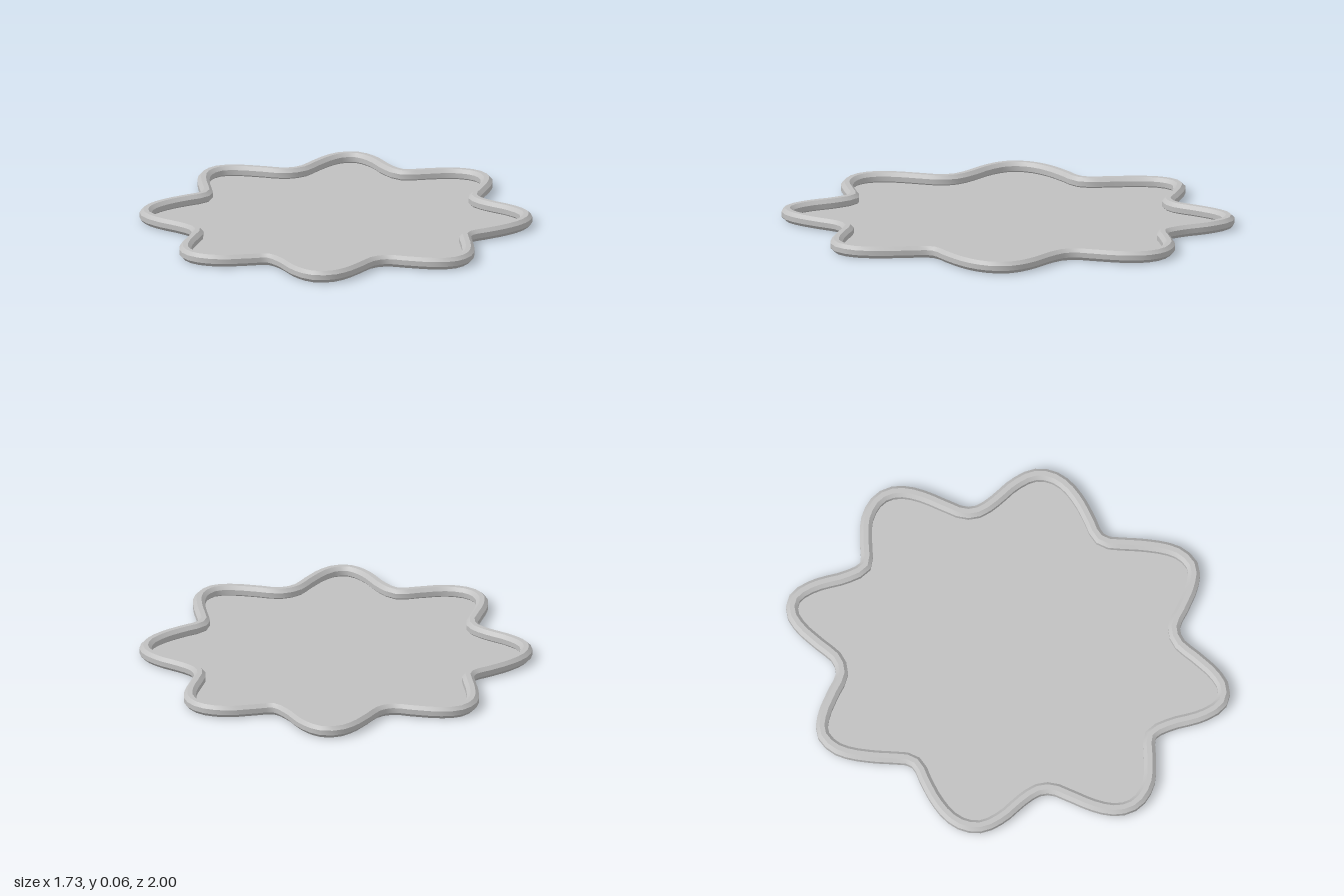
import * as THREE from 'three';
import { mergeVertices } from 'three/addons/utils/BufferGeometryUtils.js';

// Half of the wavy outline as [x, z]; the other half is the same turned by 180 degrees
const HALF = [
  [0, -0.78], [0.09, -0.832], [0.19, -0.893], [0.286, -0.907], [0.35, -0.885], [0.4, -0.83],
  [0.432, -0.74], [0.45, -0.62], [0.466, -0.534], [0.508, -0.481], [0.593, -0.444],
  [0.704, -0.413], [0.794, -0.36], [0.831, -0.291], [0.833, -0.212], [0.8, -0.116],
  [0.741, -0.016], [0.697, 0.05], [0.695, 0.1], [0.72, 0.153], [0.778, 0.26], [0.822, 0.37],
  [0.828, 0.44], [0.8, 0.51], [0.725, 0.55], [0.614, 0.571], [0.508, 0.587], [0.455, 0.645],
  [0.436, 0.757], [0.413, 0.873], [0.376, 0.942], [0.32, 0.971], [0.265, 0.961],
  [0.19, 0.915], [0.09, 0.825],
];
const SAMPLES = 140;
const RIM = 0.028; // half the height of the rim
const FLOOR = 0.01; // floor thickness

function outlineCurve() {
  const points = [1, -1].flatMap((s) => HALF.map(([x, z]) => new THREE.Vector3(s * x, 0, s * z)));
  return new THREE.CatmullRomCurve3(points, true, 'centripetal');
}

// Octagonal rim swept round the outline: eight creased strips, each smooth along its length
function rimGeometry(curve) {
  const radius = RIM / Math.cos(Math.PI / 8);
  const position = [];
  const index = [];
  for (let k = 0; k < 8; k++) {
    const base = k * 2 * SAMPLES;
    for (let i = 0; i < SAMPLES; i++) {
      const p = curve.getPointAt(i / SAMPLES);
      const t = curve.getTangentAt(i / SAMPLES);
      for (let e = 0; e < 2; e++) {
        const a = ((k + e + 0.5) * Math.PI) / 4;
        const out = radius * Math.cos(a);
        position.push(p.x - t.z * out, RIM + radius * Math.sin(a), p.z + t.x * out);
      }
      const j = base + 2 * i;
      const n = base + 2 * ((i + 1) % SAMPLES);
      index.push(j, j + 1, n, j + 1, n + 1, n);
    }
  }
  const geometry = new THREE.BufferGeometry();
  geometry.setAttribute('position', new THREE.Float32BufferAttribute(position, 3));
  geometry.setIndex(index);
  geometry.computeVertexNormals();
  return mergeVertices(geometry, 1e-6);
}

// Thin flat slab filling the outline
function floorGeometry(curve) {
  const shape = new THREE.Shape();
  for (let i = 0; i < SAMPLES; i++) {
    const p = curve.getPointAt(i / SAMPLES);
    if (i === 0) shape.moveTo(p.x, -p.z);
    else shape.lineTo(p.x, -p.z);
  }
  shape.closePath();
  return new THREE.ExtrudeGeometry(shape, { depth: FLOOR, bevelEnabled: false }).rotateX(-Math.PI / 2);
}

export function createModel() {
  const gray = new THREE.MeshStandardMaterial({ color: 0xc0c0c0 });
  gray.name = 'light gray';
  gray.side = THREE.DoubleSide;

  const curve = outlineCurve();
  const model = new THREE.Group();
  model.name = 'wavyTray';

  const floor = new THREE.Mesh(floorGeometry(curve), gray);
  floor.name = 'floor';
  const rim = new THREE.Mesh(rimGeometry(curve), gray);
  rim.name = 'rim';
  model.add(floor, rim);
  return model;
}
